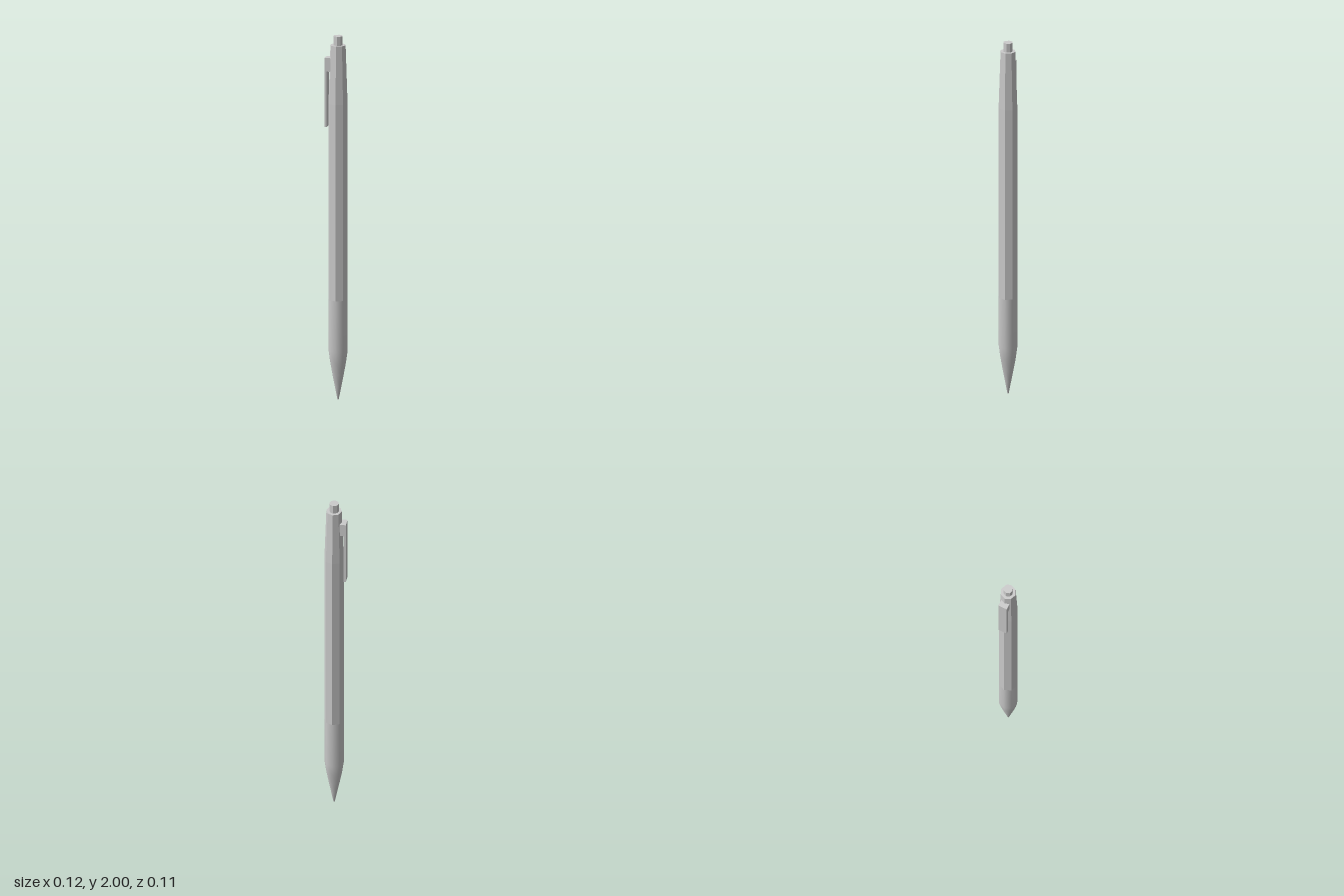
import * as THREE from 'three';

const SIDES = 8;
const AXIS_X = 0.008; // the barrel sits off centre to balance the clip

export function createModel() {
  const pen = new THREE.Group();
  pen.name = 'pen';
  const smooth = new THREE.MeshStandardMaterial({ color: 0xcccccc });
  const faceted = new THREE.MeshStandardMaterial({ color: 0xcccccc, flatShading: true });

  // Eight-sided part turned from a [radius, height] profile, bottom to top
  const turned = (name, profile, material) => {
    const points = profile.map(([r, y]) => new THREE.Vector2(r, y));
    const mesh = new THREE.Mesh(new THREE.LatheGeometry(points, SIDES), material);
    mesh.name = name;
    mesh.position.x = AXIS_X;
    pen.add(mesh);
  };

  // Softly shaded grip and writing tip
  turned('gripAndTip', [
    [0, 0], [0.004, 0], [0.018, 0.07], [0.031, 0.135], [0.044, 0.205], [0.053, 0.27], [0.053, 0.55],
  ], smooth);

  // Faceted barrel, tapering to a flat shoulder
  turned('barrel', [[0.053, 0.55], [0.053, 1.63], [0.042, 1.95], [0, 1.95]], faceted);

  // Push button
  turned('button', [[0.026, 1.94], [0.026, 2], [0, 2]], faceted);

  // Pocket clip: an L profile with its root sunk into the barrel
  const outline = new THREE.Shape([
    [-0.061, 1.5], [-0.048, 1.5], [-0.048, 1.805], [-0.026, 1.805], [-0.026, 1.88], [-0.061, 1.88],
  ].map(([x, y]) => new THREE.Vector2(x, y)));
  const width = 0.05;
  const clip = new THREE.Mesh(
    new THREE.ExtrudeGeometry(outline, { depth: width, bevelEnabled: false }), faceted);
  clip.name = 'clip';
  clip.position.z = -width / 2;
  pen.add(clip);

  return pen;
}
